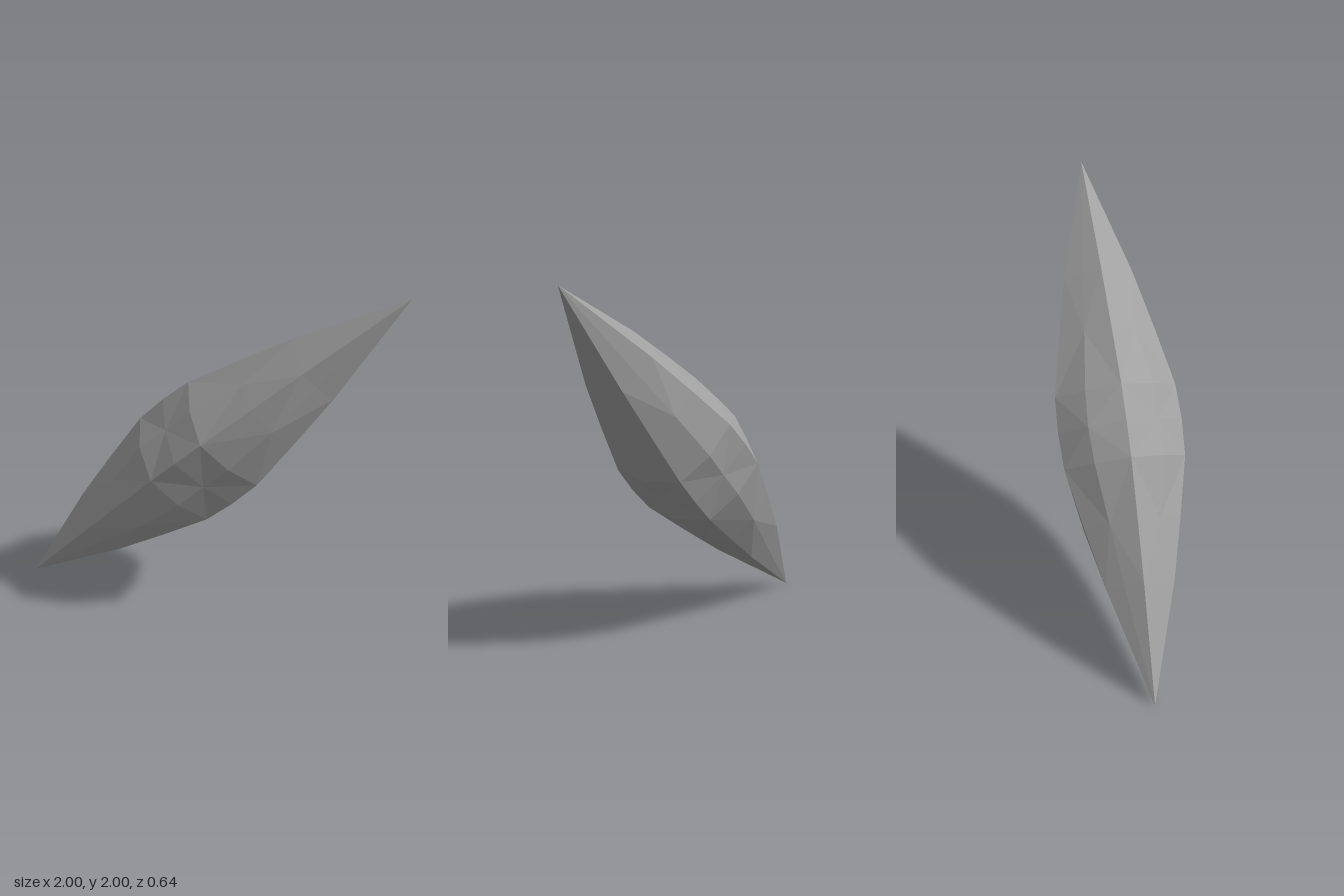
import * as THREE from 'three';

// Ring positions along the shard's long axis, with the ridge radius at each
const stations = [-1.414, -0.8, -0.49, -0.184, 0, 0.184, 0.49, 0.8, 1.414];
const ridgeRadius = [0, 0.186, 0.26, 0.327, 0.335, 0.327, 0.26, 0.186, 0];

// How far the middle of each of the five faces swells (0.81 = flat face, 1 = round)
const swell = [
  [1, 0.82, 0.84, 0.93, 0.87, 0.90, 0.86, 0.82, 1], // front upper
  [1, 0.83, 0.86, 0.90, 0.93, 0.89, 0.84, 0.82, 1], // back upper
  [1, 0.85, 0.94, 0.91, 0.87, 0.92, 0.92, 0.84, 1], // back lower
  [1, 0.81, 0.85, 0.91, 0.88, 0.91, 0.86, 0.81, 1], // underside
  [1, 0.88, 0.97, 0.92, 0.87, 0.91, 0.95, 0.83, 1], // front lower
];

function createShardGeometry() {
  const axis = new THREE.Vector3(1, 1, 0).normalize();
  const up = new THREE.Vector3(-1, 1, 0).normalize();
  const columns = 10;

  // Even columns are ridges, odd columns are face middles
  const point = (i, j) => {
    const c = j % columns;
    const angle = THREE.MathUtils.degToRad(18 + 36 * c);
    const r = ridgeRadius[i] * (c % 2 ? swell[(c - 1) / 2][i] : 1);
    return new THREE.Vector3(0, 1, 0)
      .addScaledVector(axis, stations[i])
      .addScaledVector(up, r * Math.sin(angle))
      .add(new THREE.Vector3(0, 0, r * Math.cos(angle)));
  };

  const positions = [];
  const triangle = (...corners) => corners.forEach((p) => positions.push(p.x, p.y, p.z));
  const last = stations.length - 1;
  for (let i = 0; i < last; i++) {
    for (let j = 0; j < columns; j++) {
      const a = point(i, j), b = point(i + 1, j);
      const c = point(i + 1, j + 1), d = point(i, j + 1);
      if (i === 0) triangle(a, b, c);
      else if (i === last - 1) triangle(a, b, d);
      else if ((i + j) % 2) {
        triangle(a, b, c);
        triangle(a, c, d);
      } else {
        triangle(a, b, d);
        triangle(b, c, d);
      }
    }
  }
  const geometry = new THREE.BufferGeometry();
  geometry.setAttribute('position', new THREE.Float32BufferAttribute(positions, 3));
  geometry.computeVertexNormals(); // unshared corners give flat facets
  return geometry;
}

export function createModel() {
  const group = new THREE.Group();
  group.name = 'stoneShard';
  const stone = new THREE.MeshStandardMaterial({ color: 0xa0a0a0 });
  stone.name = 'grey stone';
  const shard = new THREE.Mesh(createShardGeometry(), stone);
  shard.name = 'shard';
  group.add(shard);
  return group;
}
